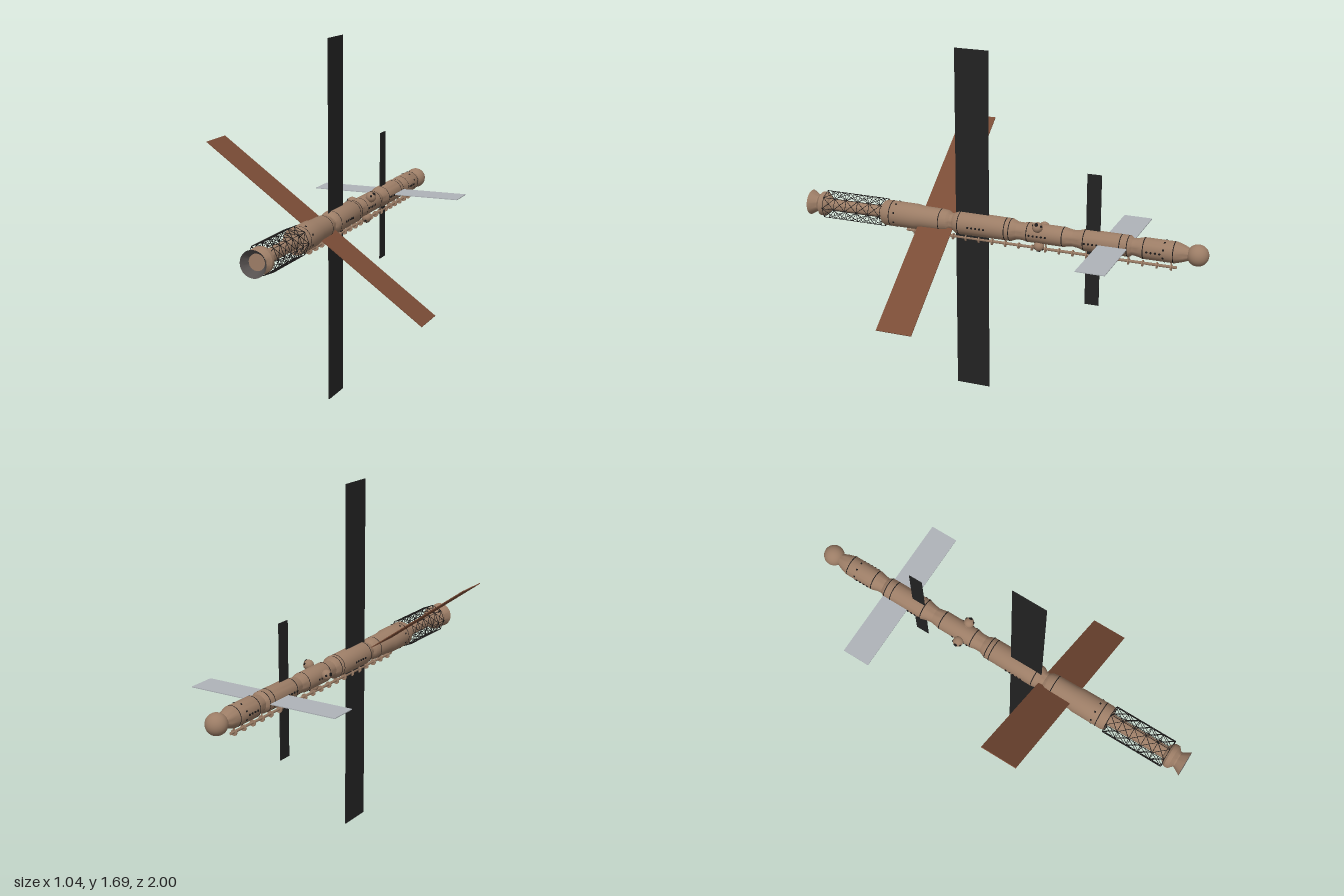
import * as THREE from 'three';
import { toCreasedNormals } from 'three/addons/utils/BufferGeometryUtils.js';

const AXIS_Y = 0.845;

export function createModel() {
  const mat = (name, color, side = THREE.FrontSide) => {
    const m = new THREE.MeshStandardMaterial({ color, side });
    m.name = name;
    return m;
  };
  const tan = mat('tan hull', 0x9c7d66);
  const black = mat('black panel', 0x222222);
  const rust = mat('rust panel', 0x7a4c36);
  const silver = mat('silver panel', 0xaeb3b8);
  const dark = mat('dark trim', 0x1c1a1a);
  const grey = mat('docking cone grey', 0x55504f, THREE.DoubleSide);

  const model = new THREE.Group();
  model.name = 'spaceStation';
  // Everything in this group is laid out around the hull axis
  const station = new THREE.Group();
  station.name = 'station';
  station.position.y = AXIS_Y;
  model.add(station);

  const add = (name, geo, material, parent = station) => {
    const mesh = new THREE.Mesh(geo, material);
    mesh.name = name;
    parent.add(mesh);
    return mesh;
  };
  // Revolves [z, radius] pairs, ordered by rising z, around the z axis
  const revolve = (profile, segments = 28) => {
    const pts = profile.map(([z, r]) => new THREE.Vector2(r, z));
    return toCreasedNormals(new THREE.LatheGeometry(pts, segments).rotateX(Math.PI / 2), 0.45);
  };
  const rodBetween = (name, a, b, r, material, parent) => {
    const dir = b.clone().sub(a);
    const rod = add(name, new THREE.CylinderGeometry(r, r, dir.length(), 5), material, parent);
    rod.position.copy(a).add(b).multiplyScalar(0.5);
    rod.quaternion.setFromUnitVectors(new THREE.Vector3(0, 1, 0), dir.normalize());
    return rod;
  };
  const polar = (r, angle, z) => new THREE.Vector3(r * Math.cos(angle), r * Math.sin(angle), z);

  // Pressurised modules
  const modules = {
    rearModule: [[-0.915, 0.026], [-0.89, 0.038], [-0.85, 0.05], [-0.70, 0.05], [-0.675, 0.043], [-0.65, 0.04]],
    serviceModule: [[-0.65, 0.04], [-0.635, 0.05], [-0.42, 0.051], [-0.395, 0.043], [-0.365, 0.039]],
    hubModule: [[-0.365, 0.039], [-0.345, 0.042], [-0.32, 0.047], [-0.14, 0.047], [-0.12, 0.042], [-0.09, 0.042]],
    mainModule: [[-0.09, 0.042], [-0.06, 0.054], [0.20, 0.056], [0.22, 0.052], [0.235, 0.042], [0.25, 0.04]],
    frontModule: [[0.25, 0.04], [0.265, 0.05], [0.29, 0.054], [0.40, 0.056], [0.43, 0.061], [0.585, 0.062],
      [0.60, 0.056], [0.601, 0]],
    trussCore: [[0.60, 0.03], [0.895, 0.03], [0.90, 0.042], [0.92, 0.059], [0.94, 0.059], [0.957, 0.04],
      [0.963, 0.04], [1.0, 0.061]],
  };
  for (const [name, profile] of Object.entries(modules)) add(name, revolve(profile), tan);

  add('rearSphere', new THREE.SphereGeometry(0.05, 28, 18), tan).position.z = -0.95;

  // Open docking cone at the front
  add('dockingCone', revolve([[0.963, 0.036], [1.0, 0.0605]]), grey);
  add('dockingHatch', new THREE.CircleGeometry(0.037, 24), tan).position.z = 0.965;

  // Dark seams around the hull
  const seams = [[-0.845, 0.05], [-0.705, 0.05], [-0.63, 0.05], [-0.595, 0.0502], [-0.422, 0.051], [-0.318, 0.047],
    [-0.145, 0.047], [-0.058, 0.0541], [-0.035, 0.0542], [0.20, 0.056], [0.30, 0.0545], [0.555, 0.062]];
  for (const [z, r] of seams) {
    add('hullSeam', new THREE.CylinderGeometry(r + 0.0008, r + 0.0008, 0.004, 28, 1, true).rotateX(Math.PI / 2), dark)
      .position.z = z;
  }

  // Rows of portholes on both sides
  const windowRows = [[0.105, 0.0555, 5], [-0.20, 0.047, 5], [-0.46, 0.051, 4], [-0.755, 0.05, 4]];
  for (const [zMid, r, count] of windowRows) {
    for (const side of [0, Math.PI]) {
      for (let i = 0; i < count; i++) {
        const port = add('porthole', new THREE.CylinderGeometry(0.005, 0.005, 0.006, 10).rotateZ(Math.PI / 2), dark);
        port.position.copy(polar(r, side, zMid + (i - (count - 1) / 2) * 0.02));
      }
    }
  }

  // Ring of small ports near the front end and on the rear module
  for (let i = 0; i < 8; i++) {
    const a = Math.PI / 8 + i * Math.PI / 4;
    for (const [z, r] of [[0.53, 0.0615], [-0.80, 0.0495]]) {
      const port = add('smallPort', new THREE.BoxGeometry(0.004, 0.008, 0.008), dark);
      port.position.copy(polar(r, a, z));
      port.rotation.z = a;
    }
  }

  // Three observation domes around the hub
  for (const deg of [48, 167, 286]) {
    const dome = new THREE.Group();
    dome.name = 'observationDome';
    dome.position.z = -0.2;
    dome.rotation.z = THREE.MathUtils.degToRad(deg);
    station.add(dome);
    add('domeNeck', new THREE.CylinderGeometry(0.02, 0.02, 0.03, 16).rotateZ(Math.PI / 2), tan, dome).position.x = 0.045;
    add('domeBall', new THREE.SphereGeometry(0.025, 18, 12), tan, dome).position.x = 0.059;
    add('domeHatch', new THREE.CylinderGeometry(0.009, 0.009, 0.004, 12).rotateZ(Math.PI / 2), dark, dome)
      .position.x = 0.083;
    for (const s of [-1, 1]) {
      const pane = add('domeWindow', new THREE.SphereGeometry(0.006, 8, 6), dark, dome);
      pane.position.set(0.071, 0, s * 0.019);
    }
  }

  // Solar panels and radiators
  const panel = (name, size, z, material, tilt = 0) => {
    const p = add(name, new THREE.BoxGeometry(...size), material);
    p.position.z = z;
    p.rotation.z = tilt;
  };
  panel('mainSolarPanel', [0.004, 1.69, 0.167], 0.142, black);
  panel('rearSolarPanel', [0.004, 0.64, 0.068], -0.458, black);
  panel('radiatorPanel', [1.282, 0.004, 0.177], 0.319, rust, -Math.atan2(0.75, 1.04));
  panel('rearWingPanel', [0.76, 0.004, 0.137], -0.564, silver);

  // Boom along the underside with its brackets
  const boom = new THREE.Group();
  boom.name = 'undersideBoom';
  station.add(boom);
  rodBetween('boomRail', new THREE.Vector3(0, -0.074, -0.855), new THREE.Vector3(0, -0.074, 0.485), 0.007, tan, boom);
  for (let i = 0; i < 20; i++) {
    const z = -0.83 + i * 0.067;
    const collar = add('boomCollar', new THREE.CylinderGeometry(0.015, 0.015, 0.006, 12).rotateX(Math.PI / 2), tan, boom);
    collar.position.set(0, -0.076, z);
    if (i % 3 === 0) {
      rodBetween('boomBracket', new THREE.Vector3(0, -0.035, z), new THREE.Vector3(0, -0.074, z), 0.004, tan, boom);
    }
  }

  // Eight-sided lattice truss with crossed braces
  const truss = new THREE.Group();
  truss.name = 'latticeTruss';
  station.add(truss);
  const sides = 8, bays = 5, z0 = 0.6, z1 = 0.91, radius = 0.071, wire = 0.0014;
  const node = (i, j) => polar(radius, i * Math.PI * 2 / sides, z0 + (z1 - z0) * j / bays);
  for (let i = 0; i < sides; i++) {
    rodBetween('longeron', node(i, 0), node(i, bays), wire, dark, truss);
    for (let j = 0; j <= bays; j++) {
      rodBetween('trussRing', node(i, j), node(i + 1, j), wire, dark, truss);
      if (j < bays) {
        rodBetween('trussBrace', node(i, j), node(i + 1, j + 1), wire, dark, truss);
        rodBetween('trussBrace', node(i + 1, j), node(i, j + 1), wire, dark, truss);
      }
    }
    // Spokes tie the end rings to the core
    for (const j of [0, bays]) {
      rodBetween('trussSpoke', polar(0.03, i * Math.PI * 2 / sides, node(i, j).z), node(i, j), wire, dark, truss);
    }
  }

  return model;
}
